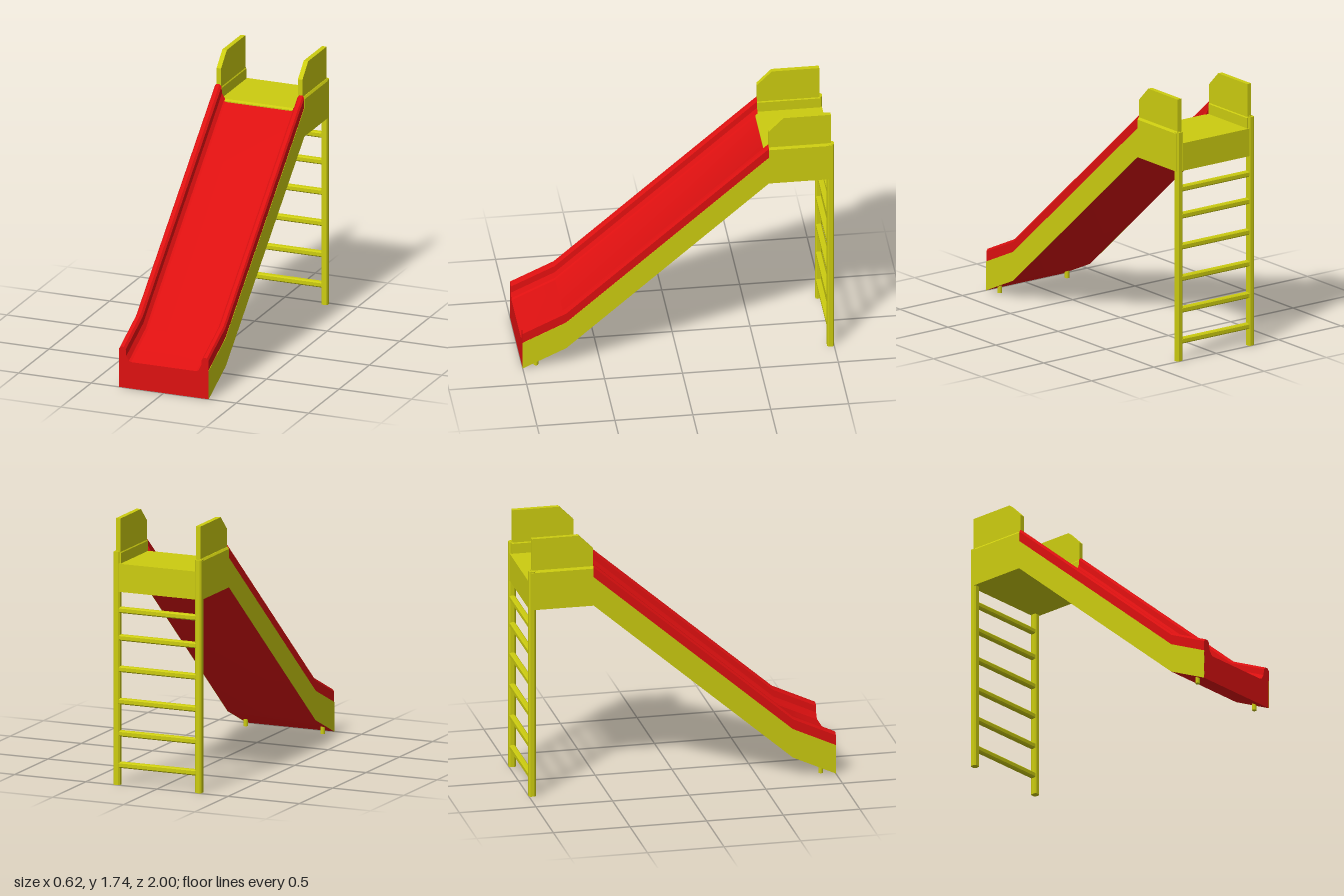
import * as THREE from 'three';
import { toCreasedNormals } from 'three/addons/utils/BufferGeometryUtils.js';

const red = new THREE.MeshStandardMaterial({ color: 0xdd1010 });
const yellow = new THREE.MeshStandardMaterial({ color: 0xcccc10 });

// Underside line of the chute as [z, y], from the platform down to the exit
const PATH = [[-0.58, 1.26], [0.72, 0.13], [1, 0]];

function shapeOf(points) {
  return new THREE.Shape(points.map(([a, b]) => new THREE.Vector2(a, b)));
}

// Symmetric channel outline: takes the right half from the outer foot to the bed edge
function channelShape(half) {
  const mirrored = half.map(([x, y]) => [-x, y]).reverse();
  return shapeOf([...half, ...mirrored]);
}

// Extrude a side outline given as [z, y] into a plate covering x0..x1
function sidePlate(points, x0, x1) {
  const geo = new THREE.ExtrudeGeometry(shapeOf(points), { depth: x1 - x0, bevelEnabled: false });
  return geo.rotateY(-Math.PI / 2).translate(x1, 0, 0);
}

// Square bar with chamfered edges, running along y
function chamferedBar(size, length) {
  const h = size / 2, c = size * 0.2;
  const outline = [[h, -h + c], [h, h - c], [h - c, h], [-h + c, h],
    [-h, h - c], [-h, -h + c], [-h + c, -h], [h - c, -h]];
  const geo = new THREE.ExtrudeGeometry(shapeOf(outline), { depth: length, bevelEnabled: false });
  return geo.translate(0, 0, -length / 2).rotateX(Math.PI / 2);
}

export function createModel() {
  const group = new THREE.Group();
  const add = (name, geo, mat, x = 0, y = 0, z = 0) => {
    const mesh = new THREE.Mesh(geo, mat);
    mesh.name = name;
    mesh.position.set(x, y, z);
    group.add(mesh);
    return mesh;
  };

  // Chute: channel section swept along the path, kept upright at each station
  const section = channelShape([[0.308, 0], [0.308, 0.258], [0.298, 0.274], [0.275, 0.274],
    [0.262, 0.258], [0.258, 0.215], [0.24, 0.185], [0.225, 0.178]]);
  const chute = new THREE.ExtrudeGeometry(section, { depth: 2, steps: 2, bevelEnabled: false });
  const pos = chute.attributes.position;
  for (let i = 0; i < pos.count; i++) {
    const [z, y] = PATH[Math.round(pos.getZ(i))];
    pos.setY(i, pos.getY(i) + y);
    pos.setZ(i, z);
  }
  add('chute', toCreasedNormals(chute, 0.4), red);

  // Platform: deck with low side walls
  const platform = channelShape([[0.31, 0], [0.31, 0.25], [0.3, 0.263], [0.27, 0.263],
    [0.26, 0.25], [0.26, 0.183]]);
  add('platform', new THREE.ExtrudeGeometry(platform, { depth: 0.405, bevelEnabled: false }),
    yellow, 0, 1.26, -0.985);
  add('backPanel', new THREE.BoxGeometry(0.54, 0.183, 0.03), yellow, 0, 1.3515, -0.982);

  // Rounded lip where the deck meets the chute
  const lip = sidePlate([[-0.6, 1.40], [-0.565, 1.40], [-0.565, 1.432], [-0.575, 1.443], [-0.6, 1.443]], -0.235, 0.235);
  add('deckLip', lip, yellow);

  for (const side of [1, -1]) {
    const label = side > 0 ? 'left' : 'right';
    // Side skin covering the lower part of the chute wall
    const skin = [...PATH, ...PATH.map(([z, y]) => [z, y + 0.192]).reverse()];
    const [a, b] = side > 0 ? [0.307, 0.31] : [-0.31, -0.307];
    add(label + 'SidePanel', sidePlate(skin, a, b), yellow);

    // Guard with a cut front corner
    const guard = [[-0.58, 1.5], [-0.58, 1.64], [-0.675, 1.735], [-0.98, 1.735], [-0.98, 1.5]];
    const [c, d] = side > 0 ? [0.265, 0.296] : [-0.296, -0.265];
    add(label + 'Guard', sidePlate(guard, c, d), yellow);

    // Ladder post and front foot
    add(label + 'Post', chamferedBar(0.044, 1.518), yellow, side * 0.287, 0.759, -0.978);
    add(label + 'Foot', new THREE.CylinderGeometry(0.015, 0.015, 0.09, 12), yellow, side * 0.27, 0.045, 0.91);
  }

  // Ladder rungs
  for (const y of [0.13, 0.335, 0.545, 0.755, 0.96, 1.14]) {
    add('rung', chamferedBar(0.038, 0.56).rotateZ(Math.PI / 2), yellow, 0, y, -0.978);
  }
  return group;
}
